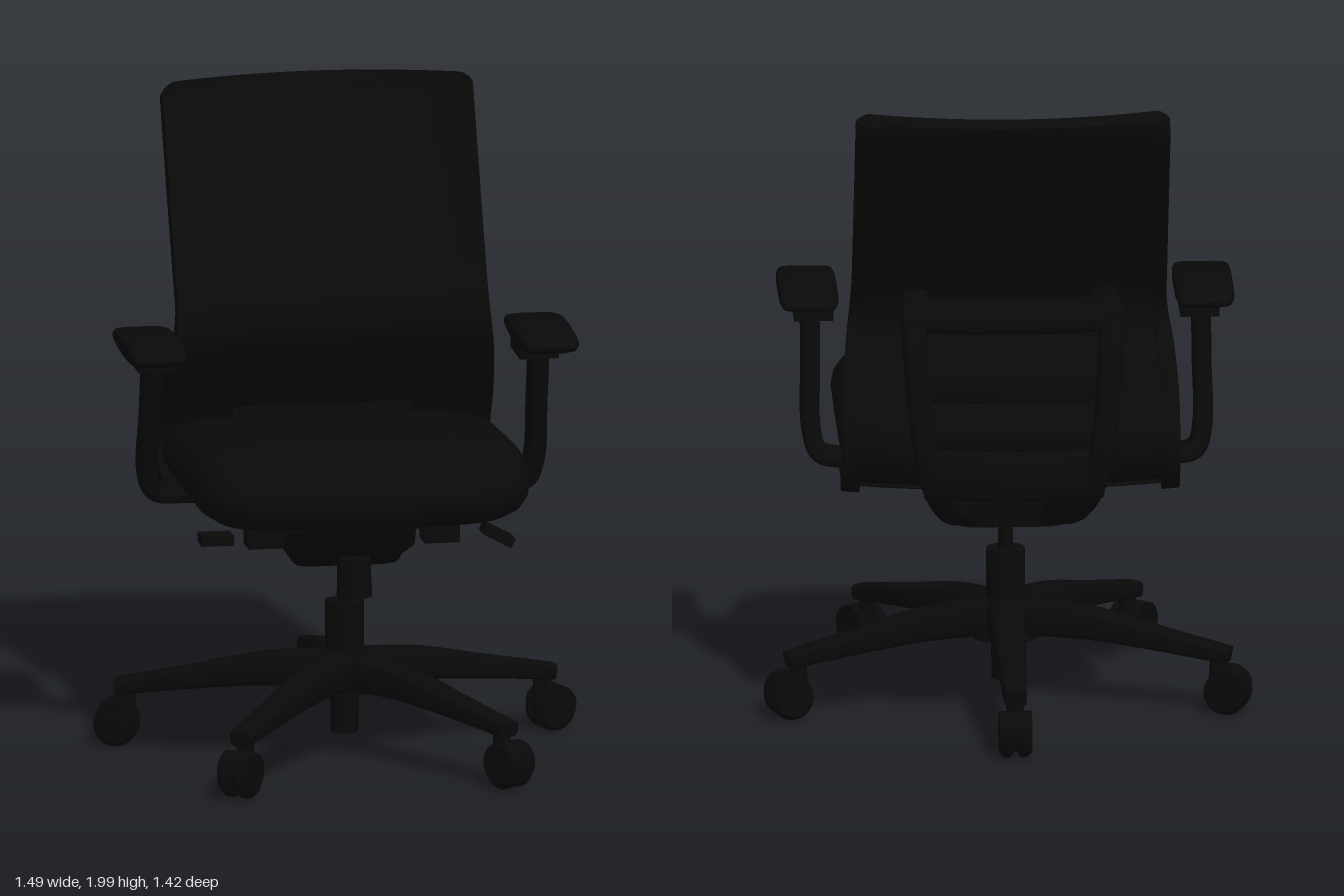
import * as THREE from 'three';
import { toCreasedNormals } from 'three/addons/utils/BufferGeometryUtils.js';

const V = (x, y, z) => new THREE.Vector3(x, y, z);
const black = new THREE.MeshStandardMaterial({ color: 0x090909 });
black.name = 'black';

function add(parent, name, geometry, x = 0, y = 0, z = 0) {
  const mesh = new THREE.Mesh(geometry, black);
  mesh.name = name;
  mesh.position.set(x, y, z);
  parent.add(mesh);
  return mesh;
}

// Skin over a list of rings with equal point counts
function loft(rings) {
  const m = rings[0].length, pos = [], idx = [];
  rings.forEach(r => r.forEach(p => pos.push(p.x, p.y, p.z)));
  for (let i = 0; i < rings.length - 1; i++)
    for (let j = 0; j < m; j++) {
      const k = (j + 1) % m, a = i * m + j, b = i * m + k;
      idx.push(a, b, a + m, b, b + m, a + m);
    }
  const g = new THREE.BufferGeometry();
  g.setAttribute('position', new THREE.Float32BufferAttribute(pos, 3));
  g.setIndex(idx);
  return toCreasedNormals(g, 0.7);
}

// Rounded-square outline point at angle a
function squircle(a, n) {
  const f = v => Math.sign(v) * Math.abs(v) ** (2 / n);
  return [f(Math.cos(a)), f(Math.sin(a))];
}

// Sweep a rounded section along points; sizes = [width along ref, height] per point
function sweep(points, sizes, ref, steps = 32, n = 4, m = 20) {
  const curve = new THREE.CatmullRomCurve3(points), rings = [];
  for (let i = 0; i <= steps; i++) {
    const t = i / steps, c = curve.getPoint(t), tan = curve.getTangent(t);
    const up = tan.clone().cross(ref).normalize();
    const f = t * (sizes.length - 1), k = Math.min(Math.floor(f), sizes.length - 2);
    const w = THREE.MathUtils.lerp(sizes[k][0], sizes[k + 1][0], f - k) / 2;
    const h = THREE.MathUtils.lerp(sizes[k][1], sizes[k + 1][1], f - k) / 2;
    const ring = [];
    for (let j = 0; j < m; j++) {
      const [p, q] = squircle(j / m * Math.PI * 2, n);
      ring.push(c.clone().addScaledVector(ref, p * w).addScaledVector(up, q * h));
    }
    if (i === 0) rings.push(ring.map(() => c.clone()));
    rings.push(ring);
    if (i === steps) rings.push(ring.map(() => c.clone()));
  }
  return loft(rings);
}

// Cushion from rings [scale, height] listed top to bottom; bend(point) adjusts each point
function cushion(cx, cz, hx, hz, n, levels, bend) {
  const m = 64;
  return loft(levels.map(([s, y]) => Array.from({ length: m }, (_, j) => {
    const [p, q] = squircle(j / m * Math.PI * 2, n);
    return bend(V(cx + p * hx * s, y, cz + q * hz * s));
  })));
}

// Side profile of the backrest (front face at its outer edge)
const backCurve = new THREE.CatmullRomCurve3([
  V(0, 2, -0.475), V(0, 1.75, -0.355), V(0, 1.45, -0.205), V(0, 1.34, -0.148), V(0, 1.24, -0.146),
  V(0, 1.13, -0.22), V(0, 1.0, -0.31), V(0, 0.92, -0.35), V(0, 0.83, -0.31), V(0, 0.8, -0.2)]);

// Curved piece of the backrest: u across, v down the profile, t depth behind the face
function backPiece(u0, u1, v0, v1, t0, t1) {
  const g = new THREE.BoxGeometry(1, 1, 1, 24, 48, 1), p = g.attributes.position;
  const { lerp, smoothstep } = THREE.MathUtils;
  for (let i = 0; i < p.count; i++) {
    const u = lerp(u0, u1, p.getX(i) + 0.5), v = lerp(v0, v1, 0.5 - p.getY(i));
    const d = lerp(t0, t1, 0.5 - p.getZ(i));
    const c = backCurve.getPointAt(v), tan = backCurve.getTangentAt(v);
    const corner = 0.035 * Math.max(0, 1 - v / 0.025) ** 2;
    const w = 0.515 - 0.035 * smoothstep(c.y, 1.0, 1.4) - corner;
    p.setXYZ(i, u * w, Math.min(2, c.y - tan.z * d), c.z + tan.y * d - 0.085 * (1 - u * u));
  }
  g.computeVertexNormals();
  return g;
}

function createCaster() {
  const caster = new THREE.Group();
  caster.name = 'caster';
  const profile = [[0, -0.022], [0.06, -0.022], [0.068, -0.014], [0.068, 0.004], [0.055, 0.018], [0, 0.022]];
  for (const s of [-1, 1]) {
    const wheel = add(caster, 'casterWheel', toCreasedNormals(
      new THREE.LatheGeometry(profile.map(([r, y]) => new THREE.Vector2(r, y)), 24), 0.6), s * 0.031, 0.075, 0.705);
    wheel.rotation.z = -s * Math.PI / 2;
  }
  const hood = add(caster, 'casterHood', new THREE.CylinderGeometry(0.062, 0.062, 0.1, 24), 0, 0.088, 0.707);
  hood.rotation.z = Math.PI / 2;
  add(caster, 'casterStem', new THREE.CylinderGeometry(0.024, 0.03, 0.1, 16), 0, 0.155, 0.675);
  return caster;
}

export function createModel() {
  const chair = new THREE.Group();
  chair.name = 'officeChair';
  const X = V(1, 0, 0), Z = V(0, 0, 1);

  // Five-legged base with casters, and the gas column
  const base = new THREE.Group();
  base.name = 'base';
  base.position.z = 0.062;
  chair.add(base);
  for (let i = 0; i < 5; i++) {
    const arm = new THREE.Group();
    arm.name = 'baseArm';
    arm.rotation.y = Math.PI + i * Math.PI * 2 / 5;
    add(arm, 'baseLeg', sweep(
      [V(0, 0.27, 0.02), V(0, 0.261, 0.25), V(0, 0.226, 0.48), V(0, 0.188, 0.71)],
      [[0.13, 0.12], [0.105, 0.1], [0.085, 0.07], [0.07, 0.05]], X, 16));
    arm.add(createCaster());
    base.add(arm);
  }
  add(base, 'hub', new THREE.CylinderGeometry(0.075, 0.1, 0.13, 32), 0, 0.265, -0.01);
  add(base, 'columnSleeve', new THREE.CylinderGeometry(0.06, 0.06, 0.28, 32), 0, 0.34, -0.01);
  add(base, 'columnFoot', new THREE.CylinderGeometry(0.045, 0.042, 0.15, 24), 0, 0.145, -0.01);
  add(base, 'gasRod', new THREE.CylinderGeometry(0.023, 0.023, 0.18, 20), 0, 0.54, -0.01);

  // Tilt mechanism under the seat
  const side = new THREE.Shape([[-0.42, 0.8], [-0.37, 0.72], [-0.25, 0.68], [-0.16, 0.65], [-0.08, 0.61],
    [0.12, 0.61], [0.28, 0.65], [0.3, 0.8]].map(([a, b]) => new THREE.Vector2(a, b)));
  const body = new THREE.ExtrudeGeometry(side, { depth: 0.24, bevelSize: 0.015, bevelThickness: 0.045, bevelSegments: 2 });
  body.rotateY(Math.PI / 2).translate(-0.12, 0, 0);
  add(chair, 'tiltMechanism', body);
  add(chair, 'seatPlate', new THREE.BoxGeometry(0.6, 0.05, 0.62), 0, 0.79, 0.05);
  add(chair, 'tensionKnob', new THREE.CylinderGeometry(0.05, 0.055, 0.12, 20), 0, 0.595, 0.24);
  for (const s of [-1, 1]) {
    add(chair, 'leverMount', new THREE.BoxGeometry(0.11, 0.07, 0.1), s * 0.272, 0.725, 0.19);
    const paddle = add(chair, 'leverPaddle', new THREE.BoxGeometry(0.1, 0.03, 0.08), s * (s > 0 ? 0.45 : 0.42), s > 0 ? 0.7 : 0.717, 0.19);
    paddle.rotation.z = s > 0 ? -0.5 : 0;
  }

  // Seat cushion, falling towards the rear, rolling over and bowing out at the front
  const seatBend = p => {
    const fall = p.z < 0.3 ? (p.z - 0.3) * 0.08 : -((p.z - 0.3) ** 2) * 0.5;
    const front = THREE.MathUtils.smoothstep(p.z, 0.1, 0.6);
    return V(p.x, p.y + (p.y - 0.8) / 0.23 * fall, p.z - 0.045 * front * (p.x / 0.52) ** 2);
  };
  add(chair, 'seat', cushion(0, 0.098, 0.523, 0.526, 6, [[0, 1.038], [0.2, 1.038], [0.4, 1.038], [0.6, 1.037],
    [0.75, 1.032], [0.86, 1.023], [0.94, 1.0], [0.985, 0.965], [1, 0.925], [0.99, 0.885], [0.95, 0.845],
    [0.87, 0.815], [0.6, 0.8], [0, 0.8]], seatBend));

  // Backrest: thin panel with a thicker rim
  add(chair, 'backPanel', backPiece(-0.97, 0.97, 0.01, 0.97, 0.006, 0.03));
  add(chair, 'backTopRim', backPiece(-1, 1, 0, 0.035, 0, 0.045));
  add(chair, 'backBottomRim', backPiece(-1, 1, 0.93, 1, 0, 0.04));
  for (const s of [-1, 1])
    add(chair, 'backSideRim', backPiece(s > 0 ? 0.9 : -1, s > 0 ? 1 : -0.9, 0, 1, 0, 0.06));

  // Rear support frame running from the mechanism up to the backrest
  for (const s of [-1, 1])
    add(chair, 'backSupport', sweep([V(s * 0.29, 1.335, -0.25), V(s * 0.3, 1.33, -0.44), V(s * 0.3, 1.28, -0.482),
      V(s * 0.29, 1.12, -0.52), V(s * 0.27, 0.95, -0.535), V(s * 0.24, 0.83, -0.515), V(s * 0.19, 0.745, -0.43),
      V(s * 0.13, 0.69, -0.26), V(s * 0.11, 0.68, -0.1)],
    [[0.09, 0.1], [0.08, 0.1], [0.075, 0.095], [0.075, 0.09], [0.08, 0.09], [0.09, 0.1], [0.1, 0.1]], X, 48));
  const crossBar = (name, w, y, z, bow, d, h) => add(chair, name, sweep(
    [V(-w, y, z), V(0, y, z - bow), V(w, y, z)], [[h, d], [h, d]], V(0, 1, 0), 20));
  crossBar('upperHood', 0.32, 1.34, -0.4, 0.03, 0.2, 0.08);
  crossBar('lowerCrossBar', 0.27, 0.87, -0.52, 0.045, 0.08, 0.15);
  crossBar('backMount', 0.28, 0.97, -0.43, 0.03, 0.1, 0.09);
  crossBar('lumbarStrap', 0.3, 1.13, -0.475, 0.03, 0.02, 0.09);
  for (const s of [-1, 1])
    add(chair, 'lumbarLink', sweep([V(s * 0.3, 1.17, -0.27), V(s * 0.3, 1.15, -0.4), V(s * 0.29, 1.13, -0.52)],
      [[0.03, 0.015], [0.03, 0.015]], X, 8));

  // Armrests with pads thinning towards both ends
  const padBend = p => {
    const e = ((p.z - 0.078) / 0.235) ** 2;
    p.y += (p.y < 1.29 ? 0.016 : -0.014) * e;
    return p;
  };
  for (const s of [-1, 1]) {
    add(chair, 'armPost', sweep([V(s * 0.598, 1.27, 0.065), V(s * 0.598, 1.08, 0.025), V(s * 0.598, 0.89, -0.03),
      V(s * 0.575, 0.82, -0.055), V(s * 0.48, 0.805, -0.07), V(s * 0.25, 0.8, -0.07)],
    [[0.115, 0.06], [0.11, 0.06], [0.11, 0.06], [0.12, 0.055], [0.14, 0.045], [0.14, 0.04]], Z, 40));
    add(chair, 'armBracket', new THREE.BoxGeometry(0.12, 0.05, 0.18), s * 0.59, 1.255, 0.04);
    add(chair, 'armPad', cushion(s * 0.605, 0.075, 0.09, 0.237, 6, [[0, 1.33], [0.3, 1.33], [0.6, 1.33], [0.8, 1.33],
      [0.95, 1.324], [1, 1.312], [1, 1.288], [0.92, 1.272], [0.7, 1.262], [0.4, 1.26], [0, 1.26]], padBend));
  }
  return chair;
}
